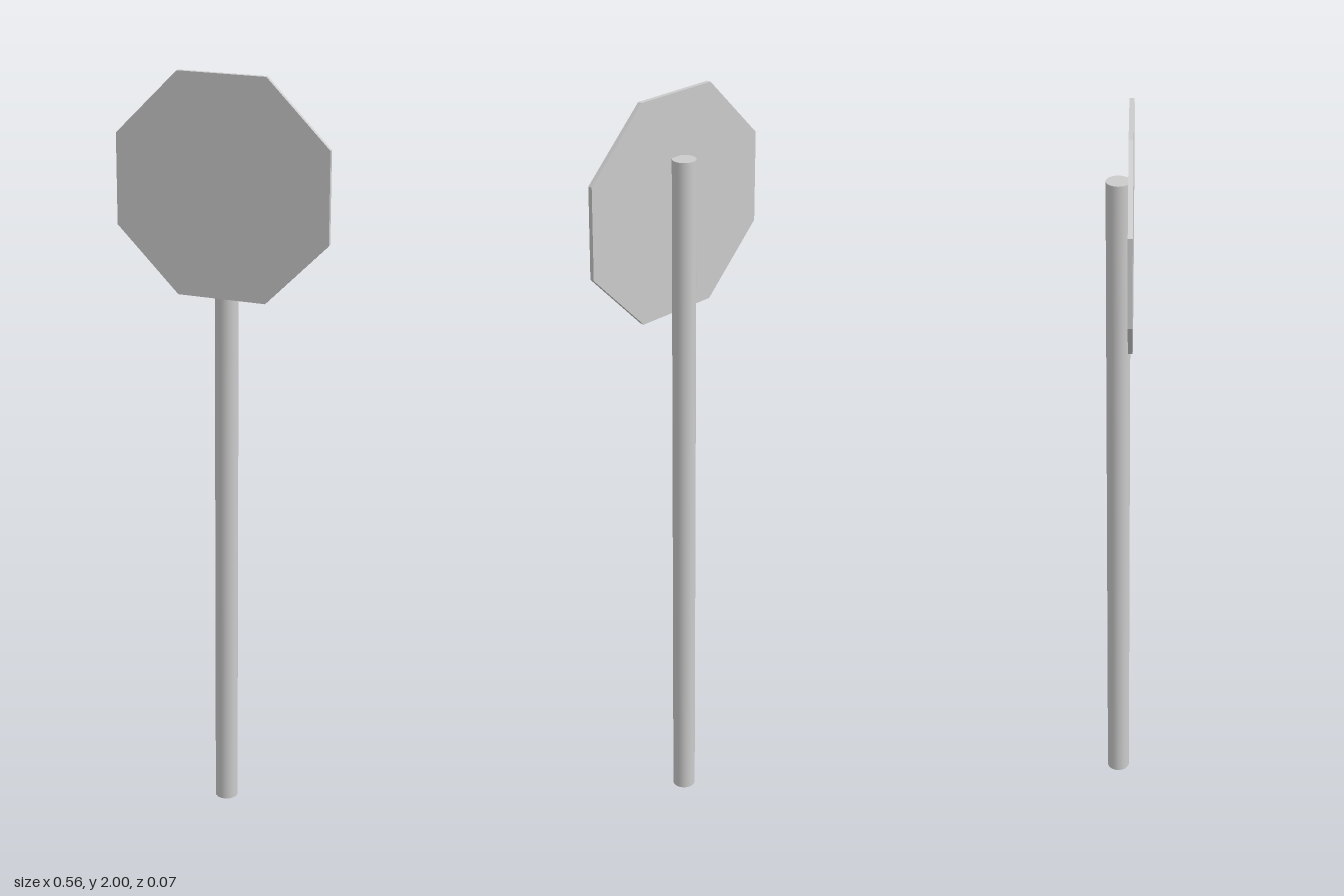
import * as THREE from 'three';

export function createModel() {
  const group = new THREE.Group();
  const smooth = new THREE.MeshStandardMaterial({ color: 0xcccccc });
  const faceted = new THREE.MeshStandardMaterial({ color: 0xcccccc, flatShading: true });

  // Round post, standing on the ground and ending behind the panel
  const postHeight = 1.84;
  const post = new THREE.Mesh(new THREE.CylinderGeometry(0.03, 0.03, postHeight, 32), smooth);
  post.name = 'post';
  post.position.set(0, postHeight / 2, -0.0045);
  group.add(post);

  // Thin octagonal panel with flat sides at top, bottom, left and right
  const halfWidth = 0.2825;
  const radius = halfWidth / Math.cos(Math.PI / 8);
  const panelGeometry = new THREE.CylinderGeometry(radius, radius, 0.0115, 8, 1, false, Math.PI / 8);
  panelGeometry.rotateX(Math.PI / 2);
  const panel = new THREE.Mesh(panelGeometry, faceted);
  panel.name = 'signPanel';
  panel.position.set(0, 2 - halfWidth, 0.0265);
  group.add(panel);

  return group;
}
